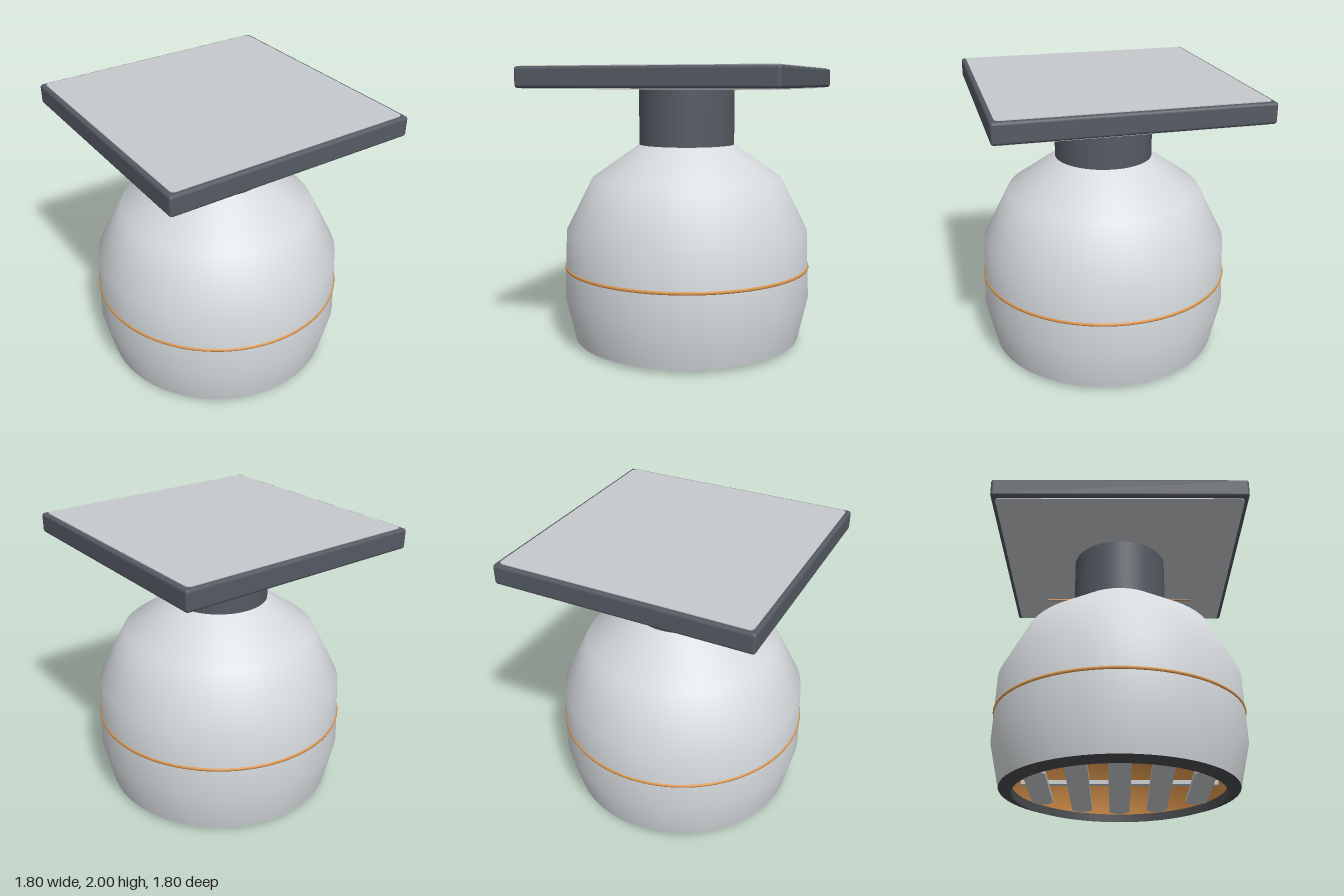
import * as THREE from 'three';
import { toCreasedNormals } from 'three/addons/utils/BufferGeometryUtils.js';
import { RoundedBoxGeometry } from 'three/addons/geometries/RoundedBoxGeometry.js';

export function createModel() {
  const model = new THREE.Group();
  const mat = (name, color) => {
    const m = new THREE.MeshStandardMaterial({ color });
    m.name = name;
    return m;
  };
  const shell = mat('pale shell', 0xd6dadd);
  const panel = mat('panel grey', 0xc6cacc);
  const dark = mat('slate', 0x555a63);
  const rim = mat('dark rim', 0x4a4c50);
  const amber = mat('amber', 0xd9934a);

  const add = (name, geometry, material, x = 0, y = 0, z = 0) => {
    const mesh = new THREE.Mesh(geometry, material);
    mesh.name = name;
    mesh.position.set(x, y, z);
    model.add(mesh);
    return mesh;
  };
  const lathe = (points) =>
    new THREE.LatheGeometry(points.map(([r, y]) => new THREE.Vector2(r, y)), 64);

  // Bell-shaped body, smooth around a faceted profile
  add('body', lathe([[0.83, 0.03], [0.9, 0.34], [0.88, 0.83], [0.69, 1.205], [0.34, 1.45]]), shell);

  // Accent band around the body
  const band = add('accentBand', new THREE.TorusGeometry(0.886, 0.013, 8, 96), amber, 0, 0.563, 0);
  band.rotation.x = Math.PI / 2;

  // Bevelled rim at the open bottom, with a lined cavity above it
  add('bottomRim', toCreasedNormals(lathe([[0.74, 0.06], [0.74, 0], [0.83, 0.03]]), 0.5), rim);
  add('cavityLining', lathe([[0, 0.5], [0.5, 0.47], [0.7, 0.34], [0.745, 0.05]]), amber);
  add('innerLamp', new THREE.CylinderGeometry(0.1, 0.1, 0.12, 24), shell, 0, 0.43, 0);

  // Grille slats with clipped ends, cut to fit the round opening
  for (let i = -2; i <= 2; i++) {
    const z = i * 0.28, w = 0.075, c = 0.05;
    const h = Math.sqrt(0.71 ** 2 - z * z) - 0.03;
    const shape = new THREE.Shape([
      [-h, -w + c], [-h + c, -w], [h - c, -w], [h, -w + c],
      [h, w - c], [h - c, w], [-h + c, w], [-h, w - c],
    ].map(([x, y]) => new THREE.Vector2(x, y)));
    const slat = add('grilleSlat', new THREE.ExtrudeGeometry(shape, { depth: 0.03, bevelEnabled: false }),
      panel, 0, 0.08, z);
    slat.rotation.x = Math.PI / 2;
  }
  add('grilleCrossbar', new THREE.BoxGeometry(0.04, 0.03, 1.36), panel, 0, 0.095, 0);

  // Neck
  add('neck', new THREE.CylinderGeometry(0.345, 0.345, 0.42, 64), dark, 0, 1.655, 0);

  // Square top plate with an inset panel on each face
  add('topPlate', new RoundedBoxGeometry(1.78, 0.14, 1.78, 3, 0.02), dark, 0, 1.925, 0);
  const s = 0.86, r = 0.035;
  const square = new THREE.Shape();
  square.moveTo(-s + r, -s);
  [[1, -1], [1, 1], [-1, 1], [-1, -1]].forEach(([x, y], i) => {
    const along = i % 2 === 0;
    square.lineTo(x * (along ? s - r : s), y * (along ? s : s - r));
    square.quadraticCurveTo(x * s, y * s, x * (along ? s : s - r), y * (along ? s - r : s));
  });
  for (const [name, y] of [['topPanel', 2], ['undersidePanel', 1.857]]) {
    const p = add(name, new THREE.ExtrudeGeometry(square, { depth: 0.009, bevelEnabled: false }), panel, 0, y, 0);
    p.rotation.x = Math.PI / 2;
  }

  // Thin accent line under the plate
  add('undersideAccent', new THREE.BoxGeometry(0.016, 0.008, 1.2), amber, 0.53, 1.846, 0);

  return model;
}
